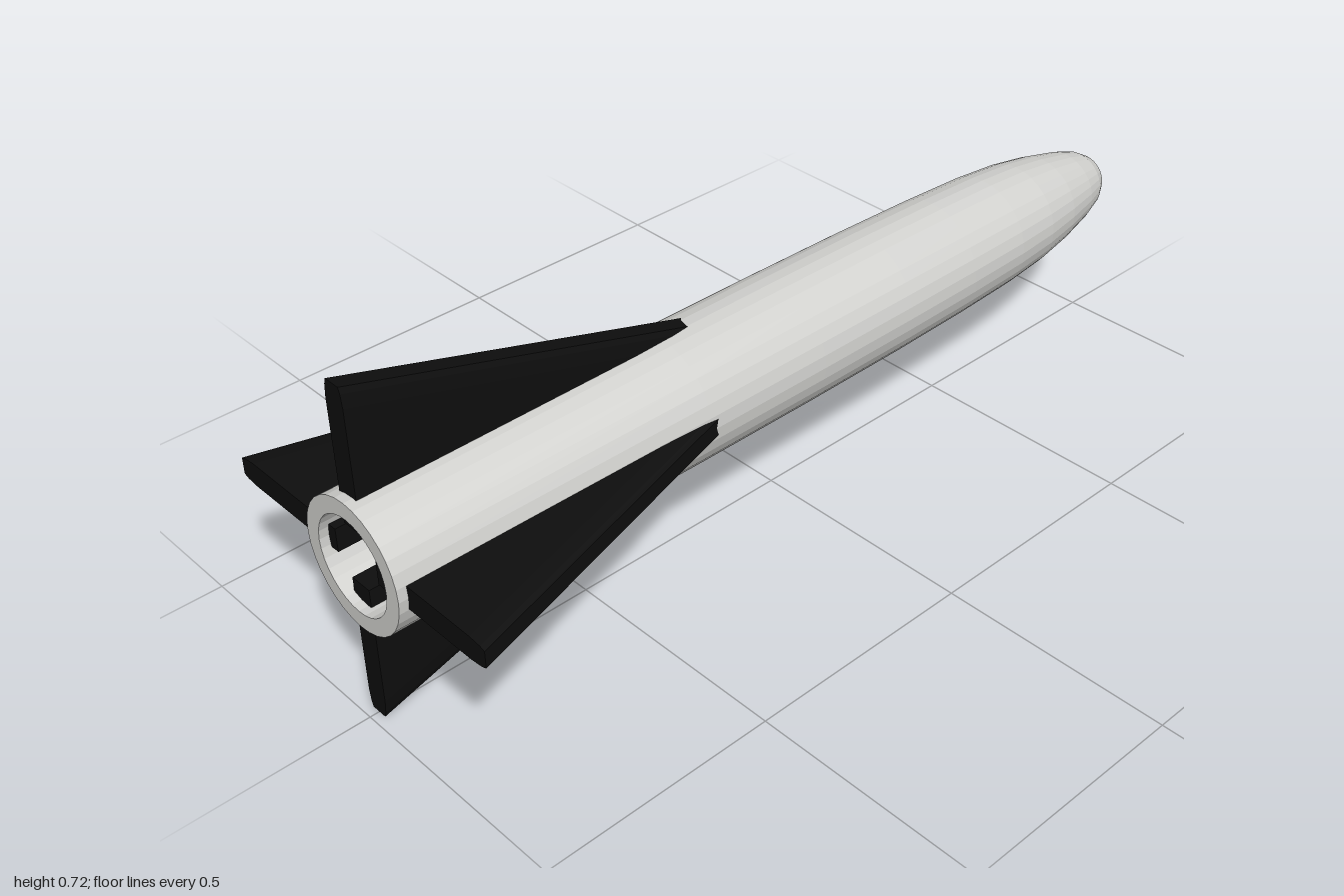
import * as THREE from 'three';

const CENTRE_Y = 0.36;
const BODY_X = 0.016; // the hull sits slightly off the fin axis

const flat = (name, color) => {
  const m = new THREE.MeshStandardMaterial({ color, flatShading: true });
  m.name = name;
  return m;
};

// Turned part along z from [radius, z] pairs, running from nose to tail
function turned(name, profile, material) {
  const geo = new THREE.LatheGeometry(profile.map(([r, z]) => new THREE.Vector2(r, z)), 32);
  geo.rotateX(Math.PI / 2);
  const mesh = new THREE.Mesh(geo, material);
  mesh.name = name;
  mesh.position.set(BODY_X, CENTRE_Y, 0);
  return mesh;
}

// Swept triangular fin with a rounded outer edge, pointing up from the axis
function finGeometry() {
  const root = 0.06, tip = 0.358, start = 0.11, end = 0.98, drop = 0.257;
  const half = [[0.025, root], [0.025, tip - 0.04], [0.022, tip - 0.012], [0.018, tip]];
  const outline = [...half, ...half.map(([x, y]) => [-x, y]).reverse()];
  const shape = new THREE.Shape(outline.map(([x, y]) => new THREE.Vector2(x, y)));
  const geo = new THREE.ExtrudeGeometry(shape, { depth: end - start, bevelEnabled: false });
  const p = geo.attributes.position;
  // Lower the outer edge at the forward end to form the slope
  for (let i = 0; i < p.count; i++) {
    if (p.getZ(i) < 0.01 && p.getY(i) > 0.1) p.setY(i, p.getY(i) - drop);
  }
  geo.translate(0, 0, start);
  geo.computeVertexNormals();
  return geo;
}

export function createModel() {
  const group = new THREE.Group();
  const hullGrey = flat('hull grey', 0xd2d2cf);
  const finBlack = flat('fin black', 0x0e0e0e);
  const noseRed = flat('nose red', 0xd0240e);

  // Hull with rounded nose and hollow tail
  group.add(turned('hull', [
    [0.05, -0.975], [0.068, -0.945], [0.084, -0.895], [0.103, -0.81], [0.117, -0.72],
    [0.126, -0.61], [0.132, -0.45], [0.136, -0.25], [0.138, 0], [0.138, 0.3],
    [0.134, 1], [0.099, 1], [0.099, -0.5], [0, -0.5],
  ], hullGrey));

  // Pointed nose tip
  group.add(turned('noseTip', [[0, -1], [0.022, -0.991], [0.05, -0.975]], noseRed));

  // Four fins around the tail
  const geo = finGeometry();
  for (let i = 0; i < 4; i++) {
    const fin = new THREE.Mesh(geo, finBlack);
    fin.name = ['topFin', 'leftFin', 'bottomFin', 'rightFin'][i];
    fin.rotation.z = -i * Math.PI / 2;
    fin.position.y = CENTRE_Y;
    group.add(fin);
  }
  return group;
}
